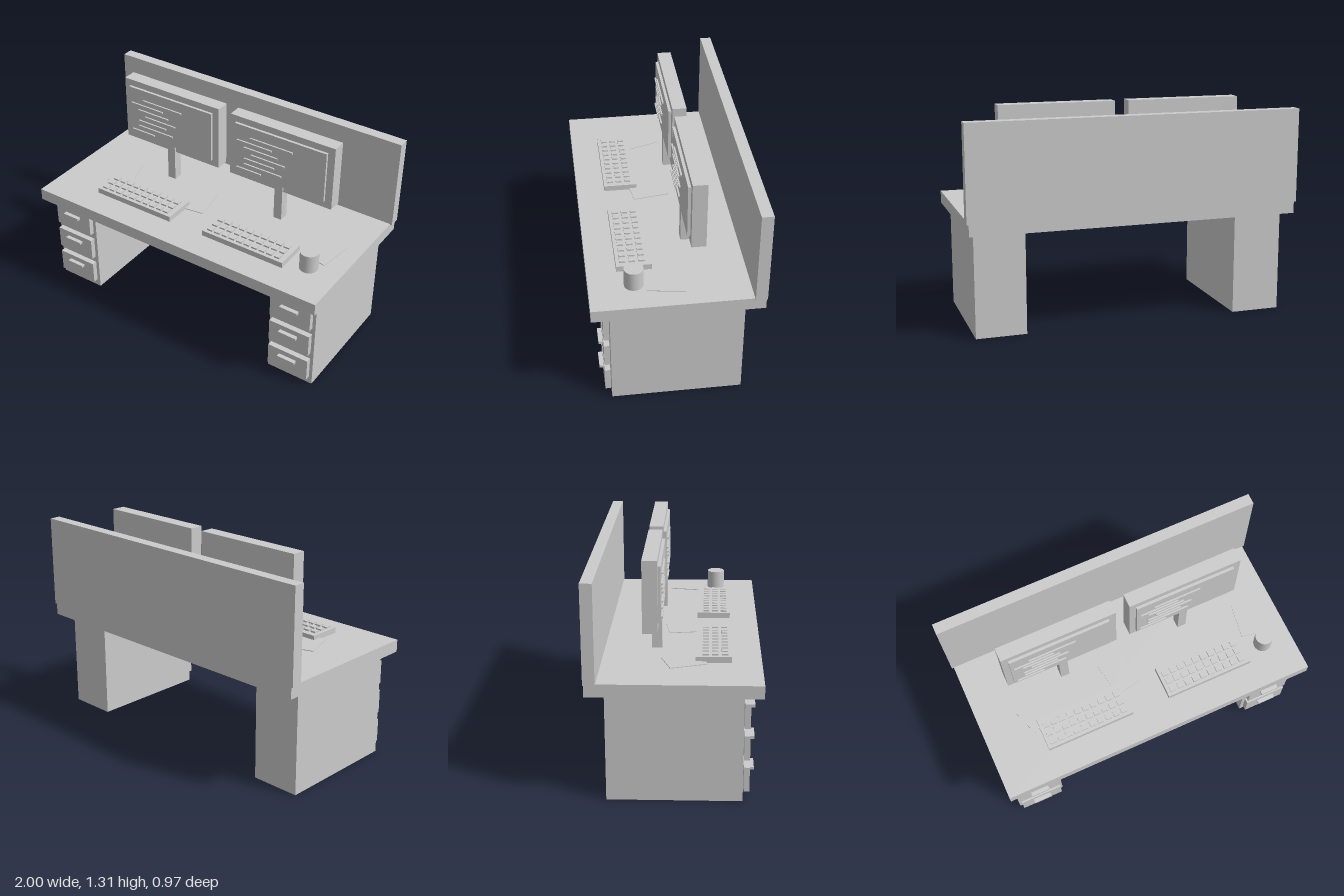
import * as THREE from 'three';

const material = new THREE.MeshStandardMaterial({ color: 0xcccccc });

function add(parent, name, geometry, x, y, z) {
  const mesh = new THREE.Mesh(geometry, material);
  mesh.name = name;
  mesh.position.set(x, y, z);
  parent.add(mesh);
  return mesh;
}

// Box given by its extents along each axis
function box(parent, name, [x0, x1], [y0, y1], [z0, z1]) {
  return add(parent, name, new THREE.BoxGeometry(x1 - x0, y1 - y0, z1 - z0),
    (x0 + x1) / 2, (y0 + y1) / 2, (z0 + z1) / 2);
}

function subgroup(parent, name, x) {
  const group = new THREE.Group();
  group.name = name;
  group.position.x = x;
  parent.add(group);
  return group;
}

// Pedestal with three drawers and bar handles
function addPedestal(parent, x) {
  const g = subgroup(parent, 'pedestal', x);
  box(g, 'cabinet', [-0.15, 0.15], [0, 0.627], [-0.375, 0.378]);
  for (let i = 0; i < 3; i++) {
    const y = 0.124 + i * 0.188;
    box(g, 'drawerFront', [-0.132, 0.132], [y - 0.072, y + 0.072], [0.382, 0.415]);
    box(g, 'drawerHandle', [-0.057, 0.057], [y + 0.023, y + 0.039], [0.415, 0.44]);
  }
}

// Monitor: stand, casing, raised screen and rows of text bars
const textBars = [ // start offset from the screen's edge, length
  [0.11, 0.29], [0.02, 0.24], [0.07, 0.23], [0.12, 0.23], [0.07, 0.21], [0.07, 0.26], [0.02, 0.17],
];
function addMonitor(parent, x) {
  const g = subgroup(parent, 'monitor', x);
  box(g, 'stand', [-0.027, 0.027], [0.699, 0.94], [-0.145, -0.085]);
  box(g, 'casing', [-0.35, 0.35], [0.897, 1.308], [-0.18, -0.096]);
  box(g, 'screen', [-0.31, 0.305], [0.94, 1.267], [-0.097, -0.079]);
  textBars.forEach(([start, length], i) => {
    const y = 1.198 - i * 0.0377;
    box(g, 'textBar', [-0.31 + start, -0.31 + start + length], [y - 0.005, y + 0.005], [-0.08, -0.069]);
  });
}

// Keyboard with a 10 by 3 field of keys
function addKeyboard(parent, x) {
  const g = subgroup(parent, 'keyboard', x);
  box(g, 'keyboardBase', [-0.275, 0.275], [0.704, 0.739], [0.112, 0.314]);
  for (let row = 0; row < 3; row++) {
    for (let col = 0; col < 10; col++) {
      add(g, 'key', new THREE.BoxGeometry(0.036, 0.016, 0.036),
        -0.235 + col * 0.0512, 0.741, 0.167 + row * 0.054);
    }
  }
}

export function createModel() {
  const model = new THREE.Group();
  model.name = 'officeDesk';

  // Desk and rear partition
  box(model, 'desktop', [-0.988, 0.988], [0.625, 0.7], [-0.48, 0.483]);
  box(model, 'partition', [-1, 1], [0.695, 1.258], [-0.483, -0.416]);
  addPedestal(model, -0.8);
  addPedestal(model, 0.797);

  // Two workstations
  for (const x of [-0.386, 0.399]) {
    addMonitor(model, x);
    addKeyboard(model, x);
  }

  // Loose paper sheets: x, z, turn
  for (const [x, z, turn] of [[-0.658, 0.05, 0.33], [-0.088, 0.045, 0.15], [0.8, 0.047, -0.15]]) {
    const sheet = add(model, 'paper', new THREE.BoxGeometry(0.162, 0.004, 0.218), x, 0.711, z);
    sheet.rotation.y = turn;
  }

  add(model, 'cup', new THREE.CylinderGeometry(0.055, 0.055, 0.115, 24), 0.8, 0.767, 0.229);

  return model;
}
